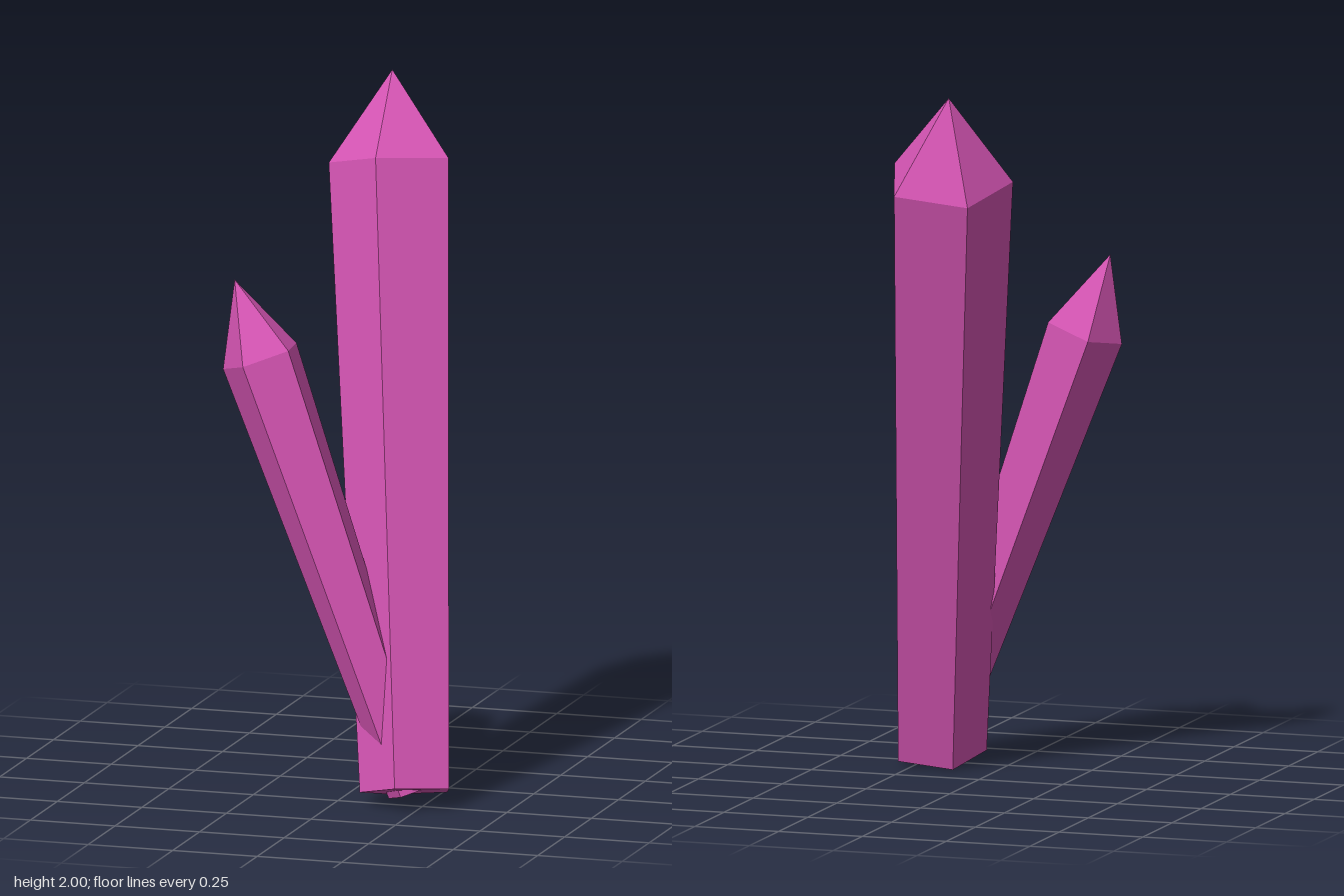
import * as THREE from 'three';

const material = new THREE.MeshStandardMaterial({ color: 0xd655b4, flatShading: true });

// Five-sided tapered crystal: flat base, widening shaft, pointed tip
function crystal(name, base, tip, baseRadius, shoulderRadius, shoulderAt, roll) {
  const axis = tip.clone().sub(base);
  const length = axis.length();
  const profile = [
    new THREE.Vector2(0, 0),
    new THREE.Vector2(baseRadius, 0),
    new THREE.Vector2(shoulderRadius, length * shoulderAt),
    new THREE.Vector2(0, length),
  ];
  const geometry = new THREE.LatheGeometry(profile, 5).toNonIndexed();
  geometry.rotateY(roll);
  geometry.computeVertexNormals();
  const mesh = new THREE.Mesh(geometry, material);
  mesh.name = name;
  mesh.position.copy(base);
  mesh.quaternion.setFromUnitVectors(new THREE.Vector3(0, 1, 0), axis.normalize());
  return mesh;
}

export function createModel() {
  const group = new THREE.Group();
  group.name = 'crystalCluster';
  // Both crystals grow from almost the same root
  group.add(
    crystal('largeCrystal', new THREE.Vector3(0.204, 0.041, 0.233),
      new THREE.Vector3(-0.01, 2.0, -0.288), 0.138, 0.185, 0.873, 0.02),
    crystal('smallCrystal', new THREE.Vector3(0.213, 0.042, 0.232),
      new THREE.Vector3(-0.31, 1.485, 0.235), 0.07, 0.116, 0.849, -0.17),
  );
  return group;
}
